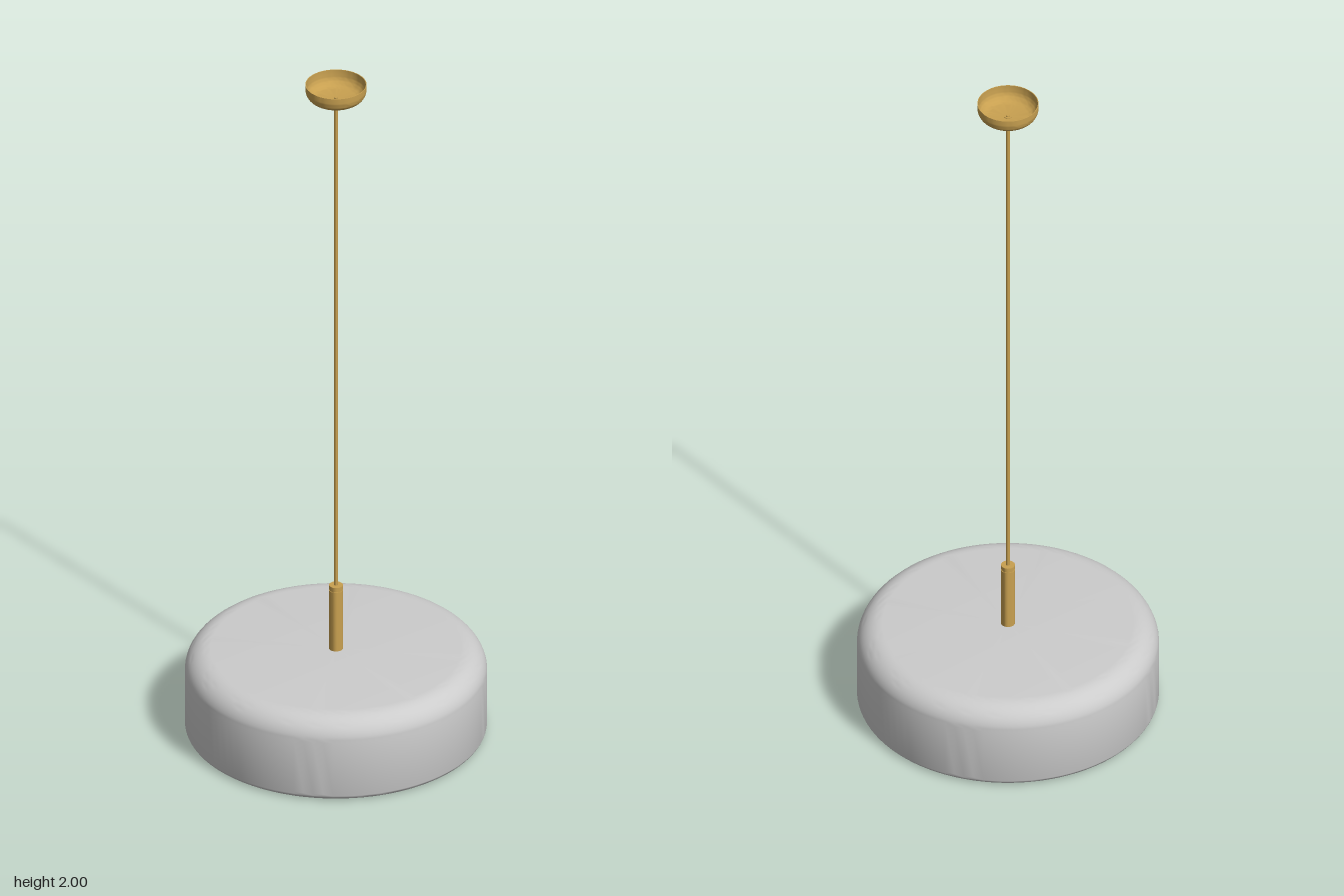
import * as THREE from 'three';
import { toCreasedNormals } from 'three/addons/utils/BufferGeometryUtils.js';

const grey = new THREE.MeshStandardMaterial({ color: 0xcccccc, side: THREE.DoubleSide });
const brass = new THREE.MeshStandardMaterial({ color: 0xc8a050, side: THREE.DoubleSide });

// Points along an elliptical arc, angles in degrees
function arc(cx, cy, rx, ry, from, to, steps = 10) {
  return Array.from({ length: steps + 1 }, (_, i) => {
    const a = THREE.MathUtils.degToRad(from + ((to - from) * i) / steps);
    return [cx + rx * Math.cos(a), cy + ry * Math.sin(a)];
  });
}

// Turned part: profile of [radius, height] points, running up the outside
function turned(name, profile, material, segments = 64) {
  const points = profile.map(([r, y]) => new THREE.Vector2(Math.max(r, 0), y));
  const geometry = toCreasedNormals(new THREE.LatheGeometry(points, segments), 0.6);
  const mesh = new THREE.Mesh(geometry, material);
  mesh.name = name;
  return mesh;
}

// Solid cylinder between two heights
function rod(name, radius, y0, y1, material, segments = 24) {
  return turned(name, [[0, y0], [radius, y0], [radius, y1], [0, y1]], material, segments);
}

export function createModel() {
  const lamp = new THREE.Group();
  lamp.name = 'pendantLamp';

  // Hollow drum shade with a softly rounded shoulder and rim
  lamp.add(turned('shade', [
    [0, 0.218],
    ...arc(0.33, 0.168, 0.05, 0.05, 90, 0),
    [0.38, 0.015],
    [0.375, 0.003],
    [0.38, 0],
    ...arc(0.39, 0.02, 0.02, 0.02, -90, 0, 6),
    ...arc(0.34, 0.18, 0.07, 0.066, 0, 90, 12),
    [0, 0.246],
  ], grey, 96));

  // Light disc hanging inside the shade
  lamp.add(turned('lightHousing', [
    [0.198, 0.06], [0.205, 0.062], [0.205, 0.092], [0.202, 0.095], [0, 0.095],
  ], brass));
  lamp.add(rod('diffuser', 0.2, 0.059, 0.068, grey, 64));
  lamp.add(rod('innerStem', 0.019, 0.09, 0.22, brass));

  // Stem above the shade with its cap
  lamp.add(rod('stem', 0.019, 0.24, 0.428, brass));
  lamp.add(rod('stemGroove', 0.0175, 0.426, 0.432, brass));
  lamp.add(rod('stemCap', 0.019, 0.431, 0.443, brass));

  // Suspension cable and its grip under the canopy
  lamp.add(rod('cable', 0.005, 0.44, 1.96, brass, 12));
  lamp.add(rod('cableGrip', 0.01, 1.937, 1.957, brass));

  // Open ceiling canopy: a thin bowl with a flat floor
  lamp.add(turned('canopy', [
    [0, 1.953],
    ...arc(0.053, 1.985, 0.03, 0.032, -90, 0),
    [0.083, 2], [0.081, 2],
    ...arc(0.053, 1.985, 0.028, 0.03, 0, -90),
    [0, 1.955],
  ], brass));

  return lamp;
}
